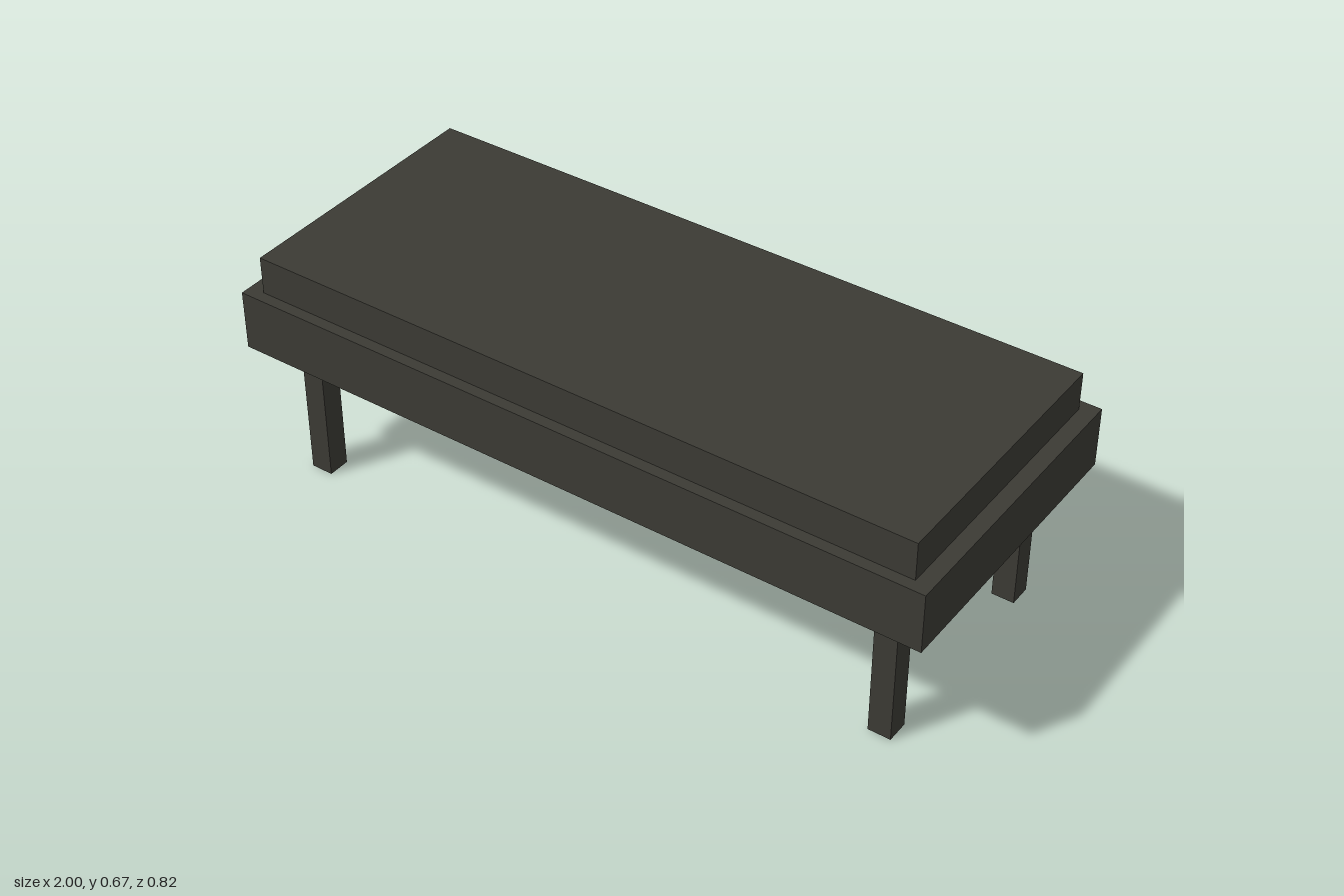
import * as THREE from 'three';

export function createModel() {
  const group = new THREE.Group();
  const charcoal = new THREE.MeshStandardMaterial({ color: 0x3b3a34 });
  charcoal.name = 'charcoal';

  // Box placed by its base height
  function box(name, w, h, d, x, y, z) {
    const mesh = new THREE.Mesh(new THREE.BoxGeometry(w, h, d), charcoal);
    mesh.name = name;
    mesh.position.set(x, y + h / 2, z);
    group.add(mesh);
  }

  // Wide base slab and the inset cushion on top
  box('frame', 2, 0.168, 0.82, 0, 0.396, 0);
  box('cushion', 1.91, 0.106, 0.757, 0, 0.564, 0);

  // Four square legs set in from the corners
  for (const [side, sx] of [['Left', 1], ['Right', -1]]) {
    for (const [end, sz] of [['front', 1], ['back', -1]]) {
      box(`${end}${side}Leg`, 0.063, 0.396, 0.063, sx * 0.863, 0, sz * 0.295);
    }
  }
  return group;
}
